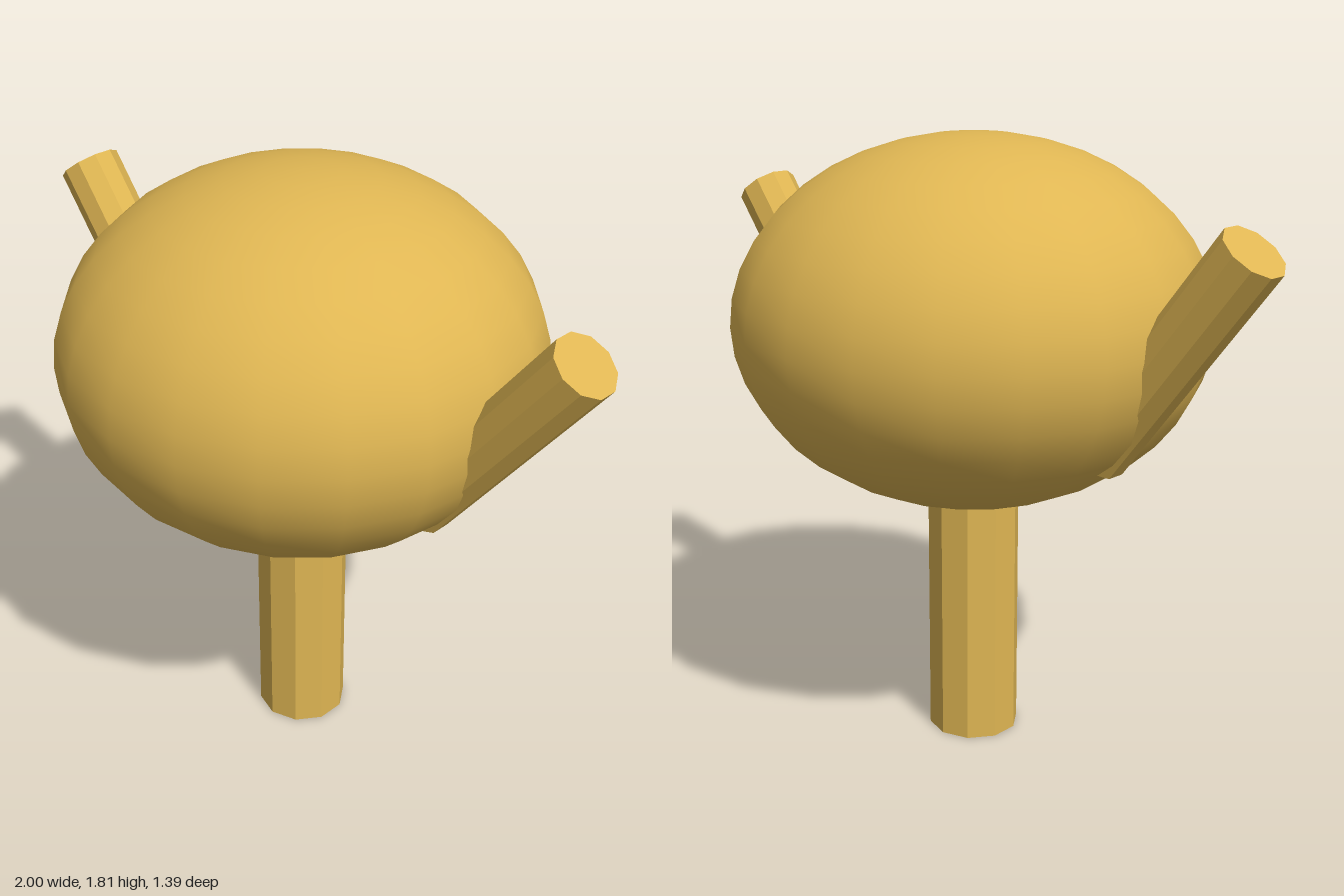
import * as THREE from 'three';

export function createModel() {
  const model = new THREE.Group();
  const gold = new THREE.MeshStandardMaterial({ color: 0xdfb653 });
  gold.name = 'gold';

  // Ten-sided rod with crisp facets
  const rod = (name, radius, length) => {
    const geometry = new THREE.CylinderGeometry(radius, radius, length, 10).toNonIndexed();
    geometry.computeVertexNormals();
    const mesh = new THREE.Mesh(geometry, gold);
    mesh.name = name;
    model.add(mesh);
    return mesh;
  };

  // Smooth, slightly flattened round body
  const bodyGeometry = new THREE.SphereGeometry(0.695, 20, 20);
  bodyGeometry.scale(1, 0.765, 1);
  const body = new THREE.Mesh(bodyGeometry, gold);
  body.name = 'body';
  body.position.y = 1.282;
  model.add(body);

  // Upright stem, its top buried in the body
  rod('stem', 0.137, 0.82).position.y = 0.41;

  // Mirrored arms leaning outwards from the sides
  for (const side of [1, -1]) {
    const arm = rod(side > 0 ? 'leftArm' : 'rightArm', 0.092, 0.766);
    arm.position.set(side * 0.697, 1.28, 0);
    arm.rotation.z = -side * 0.655;
  }

  return model;
}
